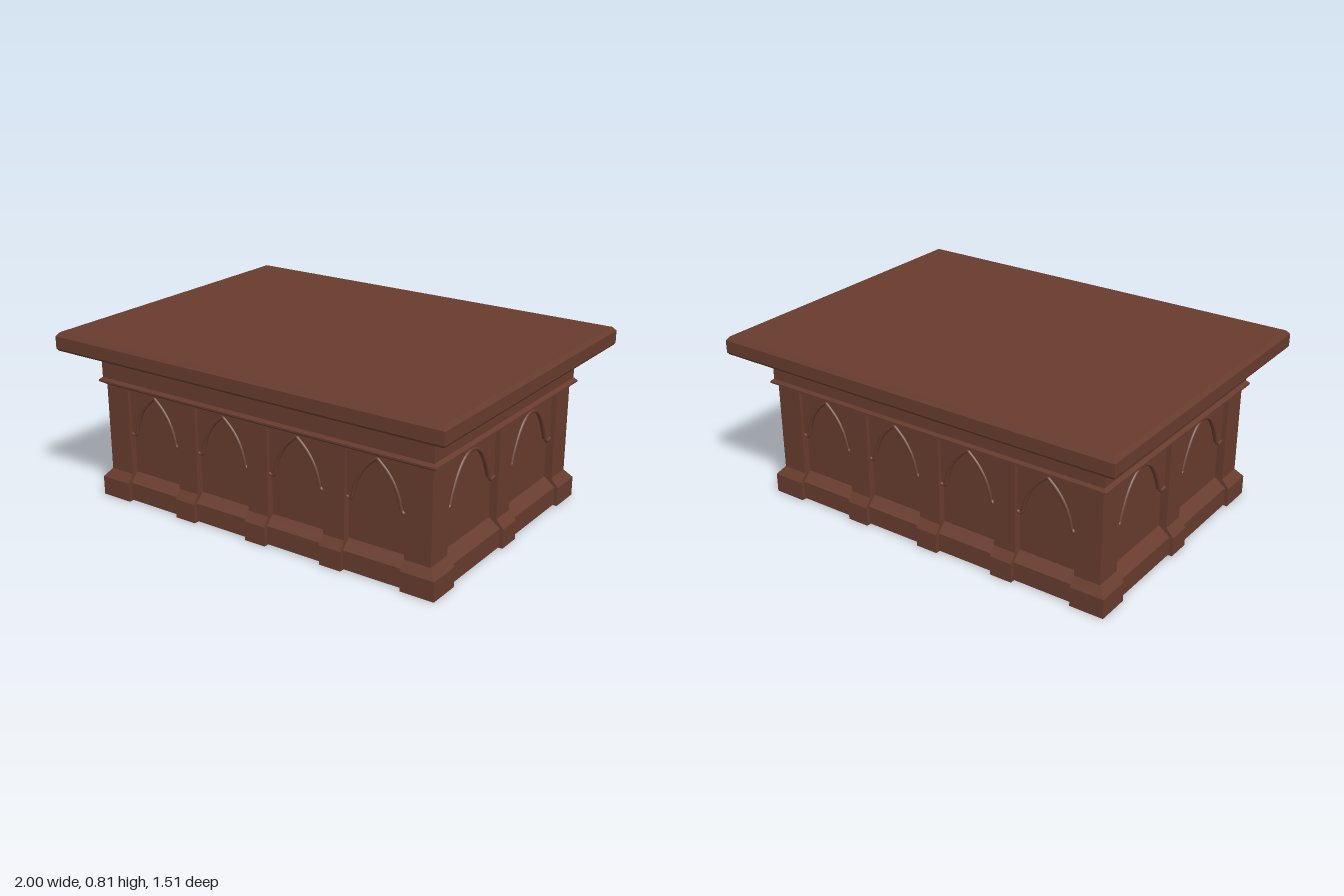
import * as THREE from 'three';

const wood = new THREE.MeshStandardMaterial({ color: 0x683c2e });
wood.name = 'brown wood';

export function createModel() {
  const root = new THREE.Group();
  root.name = 'carvedTable';

  const add = (name, geometry, parent = root) => {
    const mesh = new THREE.Mesh(geometry, wood);
    mesh.name = name;
    parent.add(mesh);
    return mesh;
  };

  // Block between two rectangles [x0, x1, z0, z1] at heights y0 and y1
  const block = (name, y0, y1, lower, upper = lower) => {
    const g = new THREE.BoxGeometry(1, 1, 1);
    const p = g.attributes.position;
    for (let i = 0; i < p.count; i++) {
      const up = p.getY(i) > 0;
      const r = up ? upper : lower;
      p.setXYZ(i, p.getX(i) < 0 ? r[0] : r[1], up ? y1 : y0, p.getZ(i) < 0 ? r[2] : r[3]);
    }
    g.computeVertexNormals();
    return add(name, g);
  };
  const rect = (x, z) => [-x, x, -z, z];

  // Recessed core with its own plinth
  block('core', 0, 0.56, rect(0.825, 0.56));
  block('plinth', 0.004, 0.09, rect(0.88, 0.605));
  block('plinthSlope', 0.09, 0.13, rect(0.88, 0.605), rect(0.828, 0.563));
  block('panelHead', 0.535, 0.56, rect(0.855, 0.59));

  // Frieze, moulding and table top
  block('mouldingSlope', 0.545, 0.56, rect(0.862, 0.597), rect(0.888, 0.62));
  block('moulding', 0.56, 0.568, rect(0.888, 0.62));
  block('mouldingCap', 0.568, 0.58, rect(0.888, 0.62), rect(0.874, 0.61));
  block('frieze', 0.575, 0.725, rect(0.873, 0.609));
  block('topUnderside', 0.72, 0.73, rect(0.993, 0.75), rect(1, 0.756));
  block('topSlab', 0.73, 0.787, rect(1, 0.756));
  block('topBevel', 0.787, 0.805, rect(1, 0.756), rect(0.985, 0.741));

  // Corner piers, each with a sloped foot
  for (const sx of [-1, 1]) for (const sz of [-1, 1]) {
    const corner = (x, z) => [
      ...[sx * 0.738, sx * x].sort((a, b) => a - b),
      ...[sz * 0.468, sz * z].sort((a, b) => a - b),
    ];
    block('cornerPier', 0.09, 0.56, corner(0.862, 0.595));
    block('cornerFoot', 0, 0.09, corner(0.897, 0.624));
    block('cornerFootSlope', 0.09, 0.13, corner(0.897, 0.624), corner(0.862, 0.595));
  }

  // Middle piers run through the body, so each shows on two faces
  for (const x of [-0.395, 0, 0.395]) {
    const slab = (z) => [x - 0.054, x + 0.054, -z, z];
    block('longSidePier', 0.09, 0.56, slab(0.595));
    block('longSideFoot', 0, 0.09, slab(0.624));
    block('longSideFootSlope', 0.09, 0.13, slab(0.624), slab(0.595));
  }
  const cross = (x) => [-x, x, -0.057, 0.057];
  block('shortSidePier', 0.09, 0.56, cross(0.862));
  block('shortSideFoot', 0, 0.09, cross(0.897));
  block('shortSideFootSlope', 0.09, 0.13, cross(0.897), cross(0.862));

  // Arched tracery: a plate around the opening and a rib along its edge
  const archPanel = (halfWidth, a, c1, c2, apex) => {
    const v = (x, y) => new THREE.Vector2(x, y);
    const left = new THREE.CubicBezierCurve(
      v(-a, 0.33), v(-c1[0], c1[1]), v(-c2[0], c2[1]), v(0, apex)).getPoints(12);
    const right = left.slice(0, -1).reverse().map((p) => v(-p.x, p.y));
    const arch = [...left, ...right];
    const plate = new THREE.ExtrudeGeometry(new THREE.Shape([
      v(-halfWidth, 0.54), v(-halfWidth, 0.325), ...arch, v(halfWidth, 0.325), v(halfWidth, 0.54),
    ]), { depth: 0.016, bevelEnabled: false });
    const path = new THREE.CurvePath();
    const line = [v(-halfWidth, 0.325), v(-a - 0.012, 0.318), ...arch, v(a + 0.012, 0.318), v(halfWidth, 0.325)]
      .map((p) => new THREE.Vector3(p.x, p.y, 0.016));
    for (let i = 1; i < line.length; i++) path.add(new THREE.LineCurve3(line[i - 1], line[i]));
    return { plate, rib: new THREE.TubeGeometry(path, 60, 0.008, 6) };
  };
  const longArch = archPanel(0.145, 0.118, [0.1, 0.44], [0.045, 0.49], 0.525);
  const shortArch = archPanel(0.205, 0.162, [0.13, 0.42], [0.08, 0.515], 0.515);

  const placePanel = (name, parts, x, z, turn) => {
    const panel = new THREE.Group();
    panel.name = name;
    add('archPlate', parts.plate, panel);
    add('archRib', parts.rib, panel);
    panel.position.set(x, 0, z);
    panel.rotation.y = turn;
    root.add(panel);
  };
  for (const s of [-1, 1]) {
    for (const x of [-0.593, -0.197, 0.197, 0.593])
      placePanel('longSideArch', longArch, x, s * 0.56, s > 0 ? 0 : Math.PI);
    for (const z of [-0.262, 0.262])
      placePanel('shortSideArch', shortArch, s * 0.825, z, s * Math.PI / 2);
  }
  return root;
}
